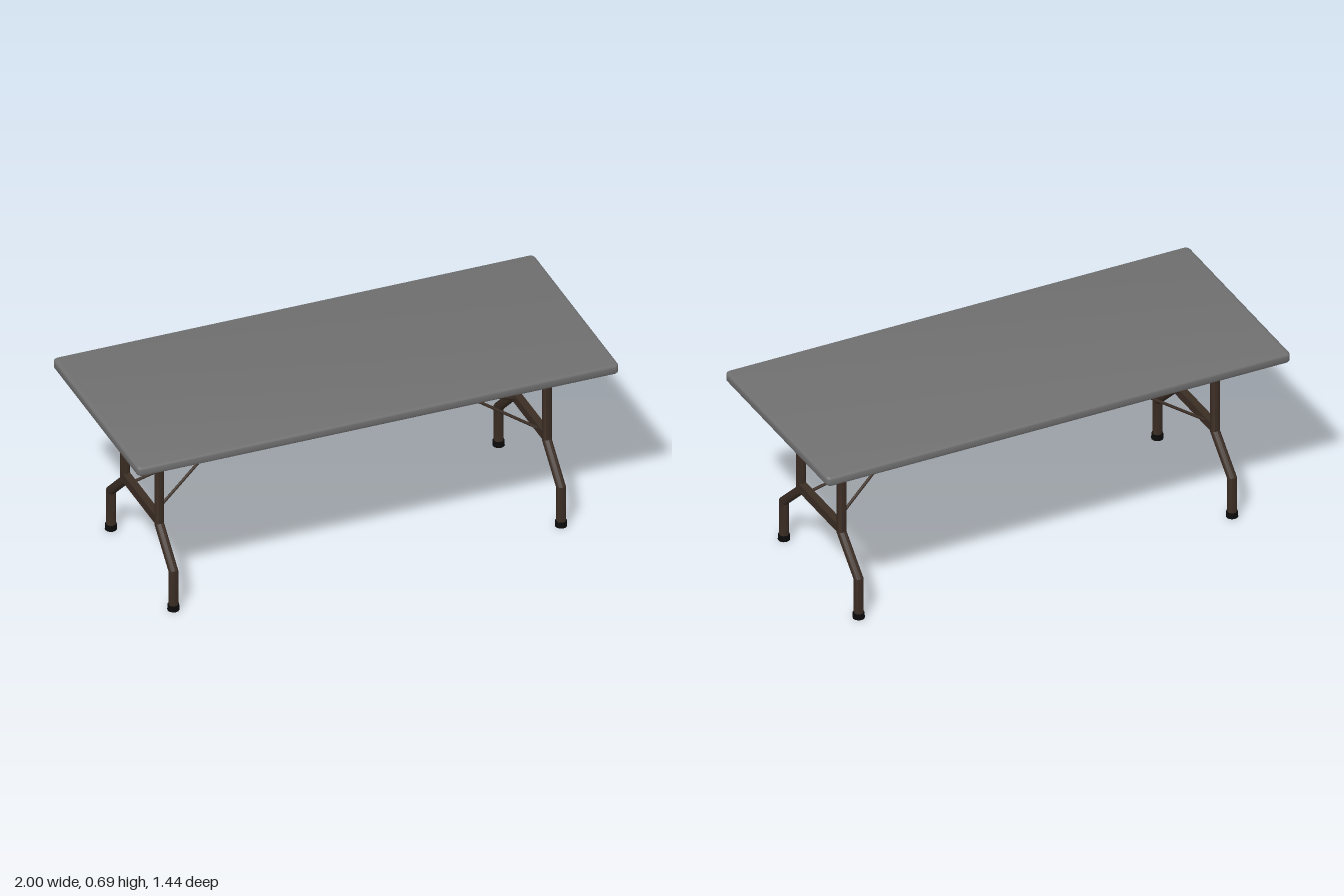
import * as THREE from 'three';
import { toCreasedNormals } from 'three/addons/utils/BufferGeometryUtils.js';

const topMat = new THREE.MeshStandardMaterial({ color: 0x707070 });
const steelMat = new THREE.MeshStandardMaterial({ color: 0x3b2d24 });
const rubberMat = new THREE.MeshStandardMaterial({ color: 0x0a0a0a });

function add(parent, name, geometry, material) {
  const mesh = new THREE.Mesh(geometry, material);
  mesh.name = name;
  parent.add(mesh);
  return mesh;
}

// Straight rod between two points
function rod(parent, name, from, to, radius) {
  const a = new THREE.Vector3(...from), b = new THREE.Vector3(...to);
  const dir = b.clone().sub(a);
  const mesh = add(parent, name, new THREE.CylinderGeometry(radius, radius, dir.length(), 8), steelMat);
  mesh.position.copy(a).add(b).multiplyScalar(0.5);
  mesh.quaternion.setFromUnitVectors(new THREE.Vector3(0, 1, 0), dir.normalize());
}

// Slab with rounded corners and softened edges
function tabletopGeometry(length, width, height, corner, bevel) {
  const x = length / 2, y = width / 2, c = corner;
  const s = new THREE.Shape();
  s.moveTo(-x + c, -y);
  s.absarc(x - c, -y + c, c, -Math.PI / 2, 0);
  s.absarc(x - c, y - c, c, 0, Math.PI / 2);
  s.absarc(-x + c, y - c, c, Math.PI / 2, Math.PI);
  s.absarc(-x + c, -y + c, c, Math.PI, Math.PI * 1.5);
  const g = new THREE.ExtrudeGeometry(s, {
    depth: height - 2 * bevel, bevelThickness: bevel, bevelSize: bevel,
    bevelOffset: -bevel, bevelSegments: 3, curveSegments: 5,
  });
  g.rotateX(-Math.PI / 2);
  g.translate(0, bevel, 0);
  return toCreasedNormals(g, 0.6);
}

// Bent tube: rings of a cylinder moved to [z, y, mitre slope] stations
function legGeometry(radius) {
  const stations = [[0.159, 0.66, 0], [0.159, 0.282, 0.43], [0.292, 0.16, 0.43], [0.292, 0.01, 0]];
  const g = new THREE.CylinderGeometry(radius, radius, 3, 12, 3);
  const p = g.attributes.position;
  for (let i = 0; i < p.count; i++) {
    const [z, y, slope] = stations[Math.round(1.5 - p.getY(i))];
    const d = p.getZ(i);
    p.setXYZ(i, p.getX(i), y + d * slope, z + d);
  }
  return toCreasedNormals(g, 0.6);
}

export function createModel() {
  const root = new THREE.Group();
  root.name = 'foldingTable';
  const table = new THREE.Group();
  table.name = 'table';
  table.rotation.y = Math.PI / 8;
  root.add(table);

  add(table, 'tabletop', tabletopGeometry(1.843, 0.808, 0.036, 0.02, 0.009), topMat).position.y = 0.655;

  const legGeo = legGeometry(0.0175);
  const footGeo = new THREE.CylinderGeometry(0.021, 0.022, 0.022, 12);
  const barX = 0.742;

  for (const end of [1, -1]) {
    const frame = new THREE.Group();
    frame.name = end > 0 ? 'leftLegFrame' : 'rightLegFrame';
    frame.rotation.y = end > 0 ? 0 : Math.PI;
    table.add(frame);

    // Pair of bent legs with rubber feet
    for (const side of [1, -1]) {
      const leg = new THREE.Group();
      leg.name = 'leg';
      leg.position.x = barX;
      leg.rotation.y = side > 0 ? 0 : Math.PI;
      frame.add(leg);
      add(leg, 'legTube', legGeo, steelMat);
      add(leg, 'foot', footGeo, rubberMat).position.set(0, 0.011, 0.292);
    }

    // Crossbar between the legs
    add(frame, 'crossbar', new THREE.BoxGeometry(0.028, 0.034, 0.318), steelMat).position.set(barX, 0.298, 0);

    // Y-shaped folding brace
    rod(frame, 'mainBrace', [0, 0.655, 0], [0.505, 0.432, 0], 0.008);
    for (const side of [1, -1]) {
      rod(frame, 'forkBrace', [0.482, 0.442, side * 0.003], [barX - 0.005, 0.298, side * 0.108], 0.0055);
    }
  }
  return root;
}
